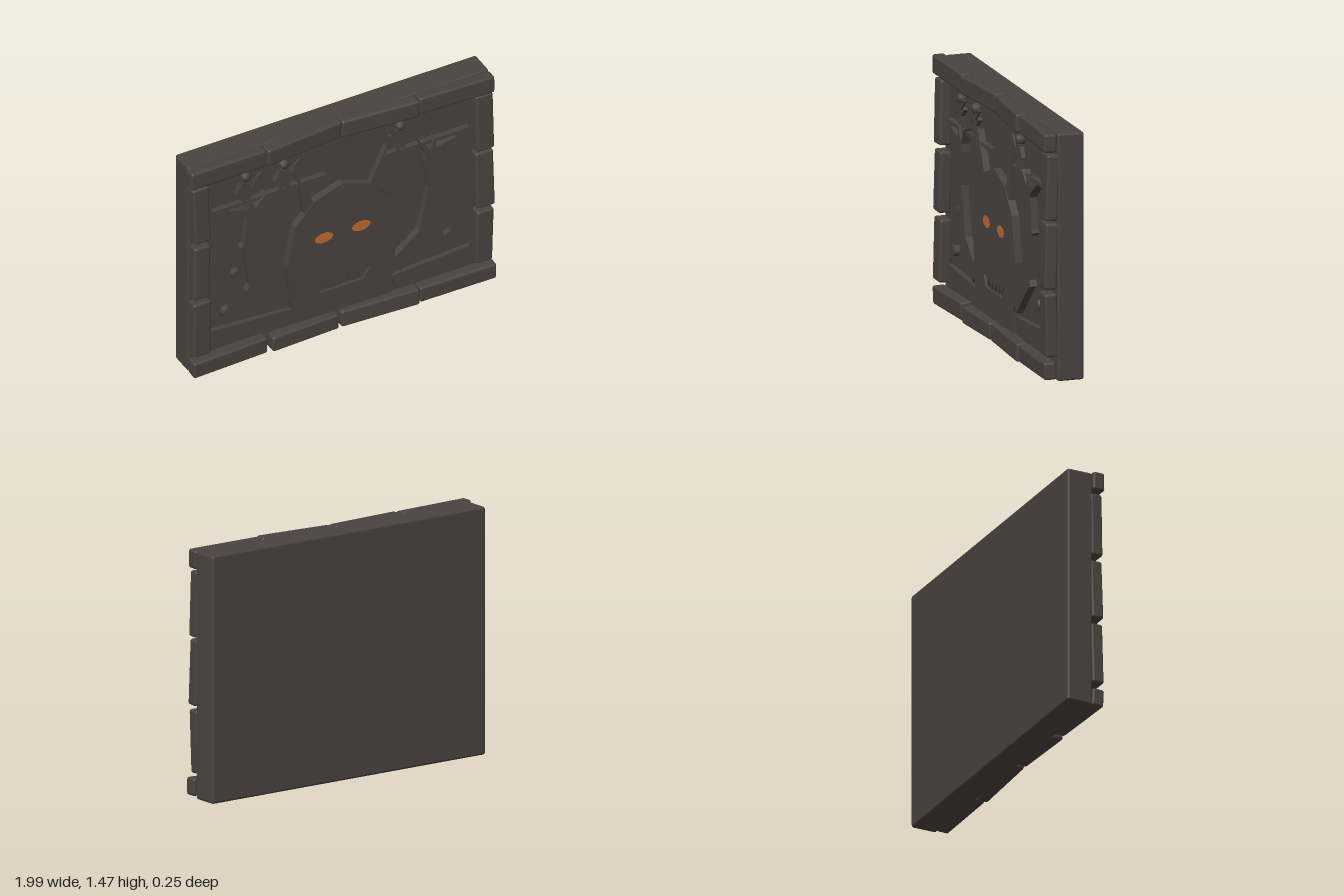
import * as THREE from 'three';
import { RoundedBoxGeometry } from 'three/addons/geometries/RoundedBoxGeometry.js';

const stone = new THREE.MeshStandardMaterial({ color: 0x4a4241 });
stone.name = 'darkStone';
const ember = new THREE.MeshStandardMaterial({ color: 0xc06a30 });
ember.name = 'emberOrange';

const FACE = 0.035; // front face of the slab

export function createModel() {
  const model = new THREE.Group();
  model.name = 'stoneRelief';

  const add = (name, geometry, x = 0, y = 0, z = 0, material = stone, parent = model) => {
    const mesh = new THREE.Mesh(geometry, material);
    mesh.name = name;
    mesh.position.set(x, y, z);
    parent.add(mesh);
    return mesh;
  };
  const toShape = (pts) => new THREE.Shape(pts.map(([x, y]) => new THREE.Vector2(x, y)));
  // Raised plate from an outline, rooted just inside the slab
  const relief = (name, pts, top, hole, parent = model, base = FACE - 0.005) => {
    const shape = toShape(pts);
    if (hole) shape.holes.push(toShape(hole));
    return add(name, new THREE.ExtrudeGeometry(shape, { depth: top - base, bevelEnabled: false }), 0, 0, base, stone, parent);
  };
  const mirror = (pts, s) => (s > 0 ? pts : pts.map(([x, y]) => [-x, y]).reverse());

  // Backing slab
  add('slab', new RoundedBoxGeometry(1.965, 1.465, 0.16, 2, 0.015), 0, 0.748, -0.045);

  // Uneven frame stones: x0, x1, y0, y1, front z, tilt about x, y, z
  const frame = [
    ['topStone', -1, -0.505, 1.37, 1.485, 0.105, 0, 0.01, -0.008],
    ['topStone', -0.503, 0, 1.37, 1.485, 0.093, 0.03, 0.075, 0.008],
    ['topStone', 0.002, 0.492, 1.37, 1.485, 0.098, 0, -0.08, 0],
    ['topStone', 0.497, 0.98, 1.37, 1.482, 0.108, -0.03, -0.03, -0.008],
    ['bottomStone', -0.985, -0.5, 0.02, 0.13, 0.108, 0.04, 0.01, 0.025],
    ['bottomStone', -0.47, -0.03, 0.022, 0.125, 0.105, 0, 0.03, 0.008],
    ['bottomStone', -0.012, 0.492, 0.02, 0.13, 0.105, -0.03, -0.04, -0.008],
    ['bottomStone', 0.497, 0.99, 0.025, 0.13, 0.112, 0.03, -0.03, 0.02],
    ['sideStone', -0.98, -0.875, 0.97, 1.355, 0.102, -0.03, 0.02, 0.025],
    ['sideStone', -0.98, -0.875, 0.57, 0.935, 0.105, -0.02, 0, -0.025],
    ['sideStone', -0.985, -0.87, 0.16, 0.535, 0.105, -0.02, 0.02, -0.015],
    ['sideStone', 0.868, 0.98, 0.965, 1.355, 0.102, -0.03, -0.02, 0.01],
    ['sideStone', 0.865, 0.98, 0.56, 0.95, 0.107, -0.03, -0.04, 0.015],
    ['sideStone', 0.865, 0.975, 0.16, 0.535, 0.105, 0.03, -0.02, -0.012],
  ];
  for (const [name, x0, x1, y0, y1, front, rx, ry, rz] of frame) {
    const depth = 0.075;
    const block = add(name, new RoundedBoxGeometry(x1 - x0, y1 - y0, depth, 2, 0.015),
      (x0 + x1) / 2, (y0 + y1) / 2, front - depth / 2);
    block.rotation.set(rx, ry, rz);
  }

  // Hulking body with an open mouth
  const mouth = [[-0.18, 0.38], [0.18, 0.38], [0.14, 0.31], [-0.14, 0.31]];
  relief('body', [
    [-0.325, 0.15], [0.325, 0.15], [0.33, 0.315], [0.362, 0.57], [0.31, 0.84], [0.235, 0.92],
    [0.187, 0.98], [0, 1.045], [-0.187, 0.98], [-0.235, 0.92], [-0.31, 0.84], [-0.362, 0.57], [-0.33, 0.315],
  ], 0.08, mouth);
  relief('mouthFloor', mouth, 0.06);
  for (let i = 0; i < 5; i++) {
    const x = -0.12 + i * 0.06;
    relief('tooth', [[x - 0.028, 0.38], [x, 0.318], [x + 0.028, 0.38]], 0.076);
  }

  for (const s of [-1, 1]) {
    // Horns, eyes
    relief('horn', mirror([[0.18, 0.965], [0.215, 0.91], [0.245, 0.915], [0.294, 1.21]], s), 0.075);
    const eye = add('eye', new THREE.CircleGeometry(1, 10), s * 0.122, 0.702, 0.083, ember);
    eye.scale.set(0.062, 0.036, 1);

    // Long spiked arm with a clawed hand
    const arm = new THREE.Group();
    arm.name = 'arm';
    model.add(arm);
    relief('limb', mirror([
      [0.32, 0.26], [0.35, 0.325], [0.38, 0.28], [0.585, 0.475], [0.625, 0.495], [0.605, 0.53],
      [0.64, 0.8], [0.665, 0.82], [0.642, 0.835], [0.615, 1.02], [0.575, 1.04], [0.54, 1.01],
      [0.565, 0.81], [0.505, 0.52], [0.345, 0.39],
    ], s), 0.078, null, arm);
    relief('claws', mirror([
      [0.54, 1.01], [0.615, 1.02], [0.65, 1.05], [0.74, 1.12], [0.615, 1.085], [0.605, 1.16],
      [0.57, 1.08], [0.5, 1.16], [0.535, 1.06], [0.46, 1.12],
    ].slice(0, 8).concat([[0.545, 1.06]]), s), 0.085, null, arm);

    // Ground bank at the foot
    relief('groundBank', mirror([[0.365, 0.15], [0.84, 0.15], [0.84, 0.28], [0.33, 0.25]], s), 0.065);
  }

  // Ledges with small spear bearers
  for (const [x0, x1] of [[-0.84, -0.1], [0.27, 0.835]]) {
    add('ledge', new THREE.BoxGeometry(x1 - x0, 0.022, 0.04), (x0 + x1) / 2, 1.13, 0.05);
  }
  for (const [x, s] of [[-0.62, 1], [-0.37, 1], [0.39, -1]]) {
    const figure = new THREE.Group();
    figure.name = 'spearBearer';
    figure.position.set(x, 1.14, 0.055);
    model.add(figure);
    add('head', new THREE.SphereGeometry(0.034, 8, 6), 0, 0.17, 0, stone, figure);
    add('torso', new THREE.BoxGeometry(0.06, 0.09, 0.035), 0, 0.1, 0, stone, figure);
    for (const side of [-1, 1]) {
      add('leg', new THREE.BoxGeometry(0.02, 0.07, 0.03), side * 0.018, 0.028, 0, stone, figure);
      const limb = add('arm', new THREE.BoxGeometry(0.018, 0.07, 0.025), side * 0.045, 0.1, 0.005, stone, figure);
      limb.rotation.z = side * s > 0 ? -s * 0.8 : -s * 0.5;
    }
    const spear = add('spear', new THREE.BoxGeometry(0.01, 0.1, 0.012), s * 0.06, 0.145, 0.015, stone, figure);
    spear.rotation.z = -s * 0.8;
  }

  // Loose pebbles
  for (const [x, y, turn] of [[-0.68, 0.63, 0.2], [-0.745, 0.38, 0.9], [0.71, 0.405, 0.5]]) {
    const pebble = add('pebble', new THREE.CylinderGeometry(0.03, 0.036, 0.035, 7), x, y, 0.05);
    pebble.rotation.set(Math.PI / 2, turn, 0);
  }
  return model;
}
